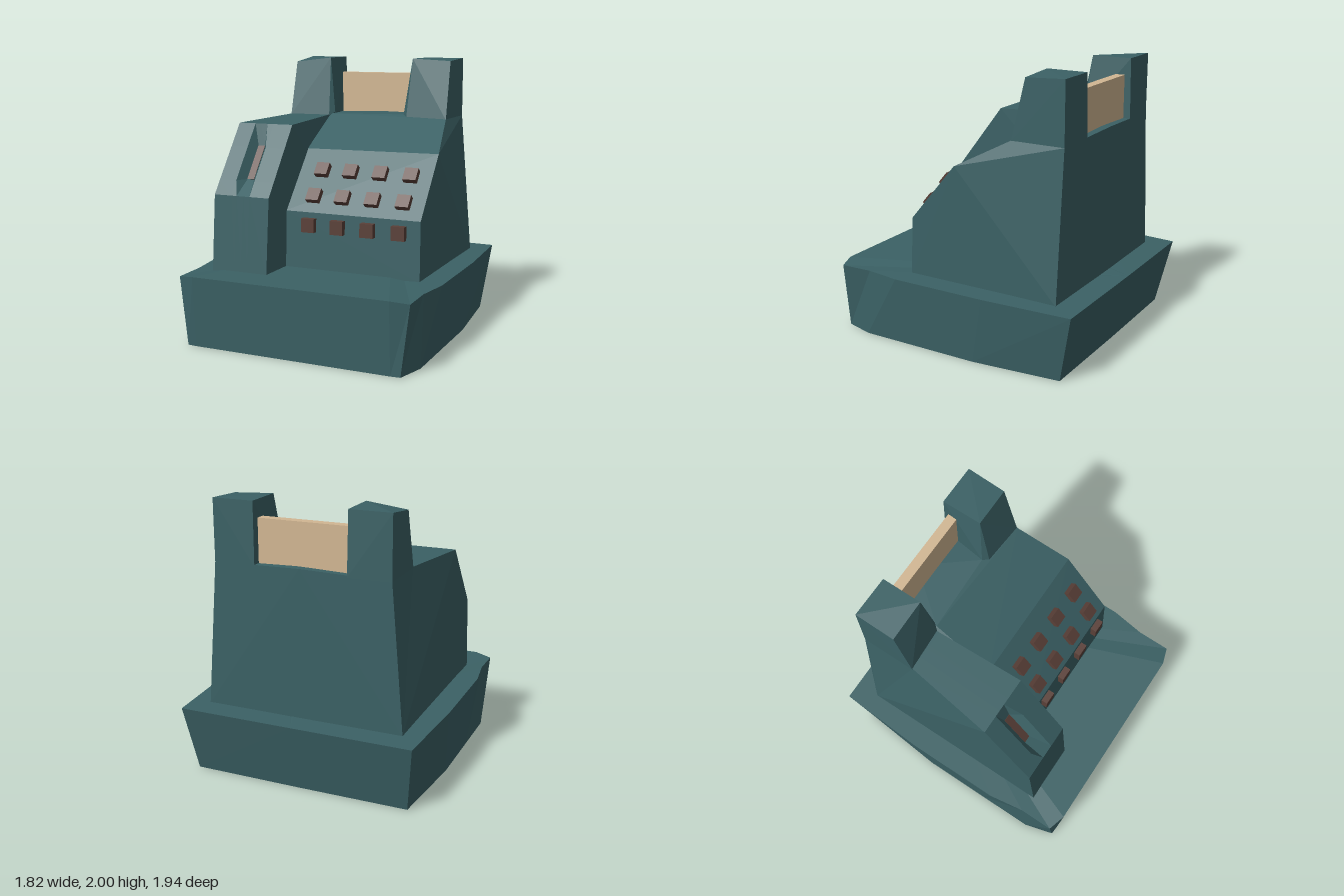
import * as THREE from 'three';
import { ConvexGeometry } from 'three/addons/geometries/ConvexGeometry.js';

// Joins closed rings of [x, y, z] points into a flat-faced solid with end caps.
function loft(rings) {
  const pos = [];
  const tri = (a, b, c) => pos.push(...a, ...b, ...c);
  const n = rings[0].length;
  for (let s = 0; s < rings.length - 1; s++) {
    const p = rings[s], q = rings[s + 1];
    for (let i = 0; i < n; i++) {
      const j = (i + 1) % n;
      tri(p[i], q[i], p[j]);
      tri(p[j], q[i], q[j]);
    }
  }
  const first = rings[0], last = rings[rings.length - 1];
  for (let i = 1; i < n - 1; i++) {
    tri(first[0], first[i], first[i + 1]);
    tri(last[0], last[i + 1], last[i]);
  }
  const geo = new THREE.BufferGeometry();
  geo.setAttribute('position', new THREE.Float32BufferAttribute(pos, 3));
  geo.computeVertexNormals();
  return geo;
}

const hull = (points) => new ConvexGeometry(points.map((p) => new THREE.Vector3(...p)));

// Completes an outline that starts on the centre line with its mirror image.
const mirrorRing = (half) => [...half, ...half.slice(1).reverse().map(([x, y, z]) => [-x, y, z])];

export function createModel() {
  const model = new THREE.Group();
  const teal = new THREE.MeshStandardMaterial({ color: 0x3b6165 });
  teal.name = 'teal casing';
  const brown = new THREE.MeshStandardMaterial({ color: 0x5a4038 });
  brown.name = 'dark brown';
  const tan = new THREE.MeshStandardMaterial({ color: 0xd2b793 });
  tan.name = 'tan';

  const add = (name, geo, mat, parent = model) => {
    const mesh = new THREE.Mesh(geo, mat);
    mesh.name = name;
    parent.add(mesh);
    return mesh;
  };

  // Drawer base, flaring outwards to the top
  const bottom = [[0, 0, -0.86], [0.81, 0, -0.855], [0.87, 0, -0.2], [0.87, 0, 0.3],
    [0.87, 0, 0.72], [0.81, 0, 0.935], [0.74, 0, 0.94]];
  const top = [[0, 0.5, -0.97], [0.87, 0.495, -0.96], [0.91, 0.5, -0.3], [0.91, 0.5, 0.42],
    [0.87, 0.5, 0.68], [0.87, 0.495, 0.93], [0.74, 0.512, 0.97]];
  add('base', loft([mirrorRing(bottom), mirrorRing(top)]), teal);

  // Cabinet with the sloping key face
  add('cabinet', hull([
    [-0.31, 0.49, 0.4], [0.74, 0.49, 0.4], [-0.31, 0.92, 0.38], [0.735, 0.92, 0.38],
    [-0.31, 1.335, 0.02], [0.735, 1.345, 0.02], [-0.3, 1.565, -0.42], [0.29, 1.575, -0.44],
    [0.65, 1.555, -0.38], [0.65, 1.555, -0.78], [-0.65, 1.555, -0.78], [0, 1.575, -0.8],
    [0.74, 0.49, -0.78], [-0.74, 0.49, -0.78], [0, 0.49, -0.79],
  ]), teal);

  // Slot block: side profiles across x, pushed in at the two middle stations
  const stations = [-0.74, -0.605, -0.56, -0.505, -0.455, -0.3];
  const slotRings = stations.map((x, i) => {
    const recessed = i === 2 || i === 3;
    const backX = -0.645 + ((x + 0.74) / 0.44) * 0.32;
    return [
      [x, 0.49, -0.78], [x, 0.49, 0.7], [x, 1.05, 0.65],
      [x, 1.15, recessed ? 0.49 : 0.574], [x, 1.375, recessed ? 0.32 : 0.402],
      [x, 1.535, 0.28], [backX, 1.555, -0.38], [backX, 1.555, -0.78],
    ];
  });
  add('slotBlock', loft(slotRings), teal);

  // Dark strip at the bottom of the slot
  const strip = add('slotStrip', new THREE.BoxGeometry(0.055, 0.282, 0.008), brown);
  strip.position.set(-0.5325, 1.2625, 0.405);
  strip.rotation.x = -0.647;

  // Two towers holding the display
  for (const [name, side, frontY] of [['leftTower', 1, 1.985], ['rightTower', -1, 1.965]]) {
    add(name, hull([
      [0.65, 1.55, -0.38], [0.325, 1.55, -0.4], [0.29, 1.575, -0.44],
      [0.34, 1.55, -0.79], [0.65, 1.55, -0.78],
      [0.345, 2, -0.48], [0.345, 2, -0.78], [0.645, frontY, -0.485], [0.65, 2, -0.78],
    ].map(([x, y, z]) => [side * x, y, z])), teal);
  }

  // Display board between the towers
  const board = add('displayBoard', new THREE.BoxGeometry(0.665, 0.32, 0.07), tan);
  board.position.set(0, 1.72, -0.705);

  // Keys: three rows of four, half sunk into the face
  const keys = new THREE.Group();
  keys.name = 'keys';
  model.add(keys);
  const keyGeo = new THREE.BoxGeometry(0.1, 0.1, 0.09);
  const rows = [[0.83, 0.385, 0], [1.019, 0.296, -0.703], [1.189, 0.152, -0.703]];
  for (const [y, z, tilt] of rows) {
    for (const x of [-0.11, 0.116, 0.348, 0.583]) {
      const key = add('key', keyGeo, brown, keys);
      key.position.set(x, y, z);
      key.rotation.x = tilt;
    }
  }

  return model;
}
